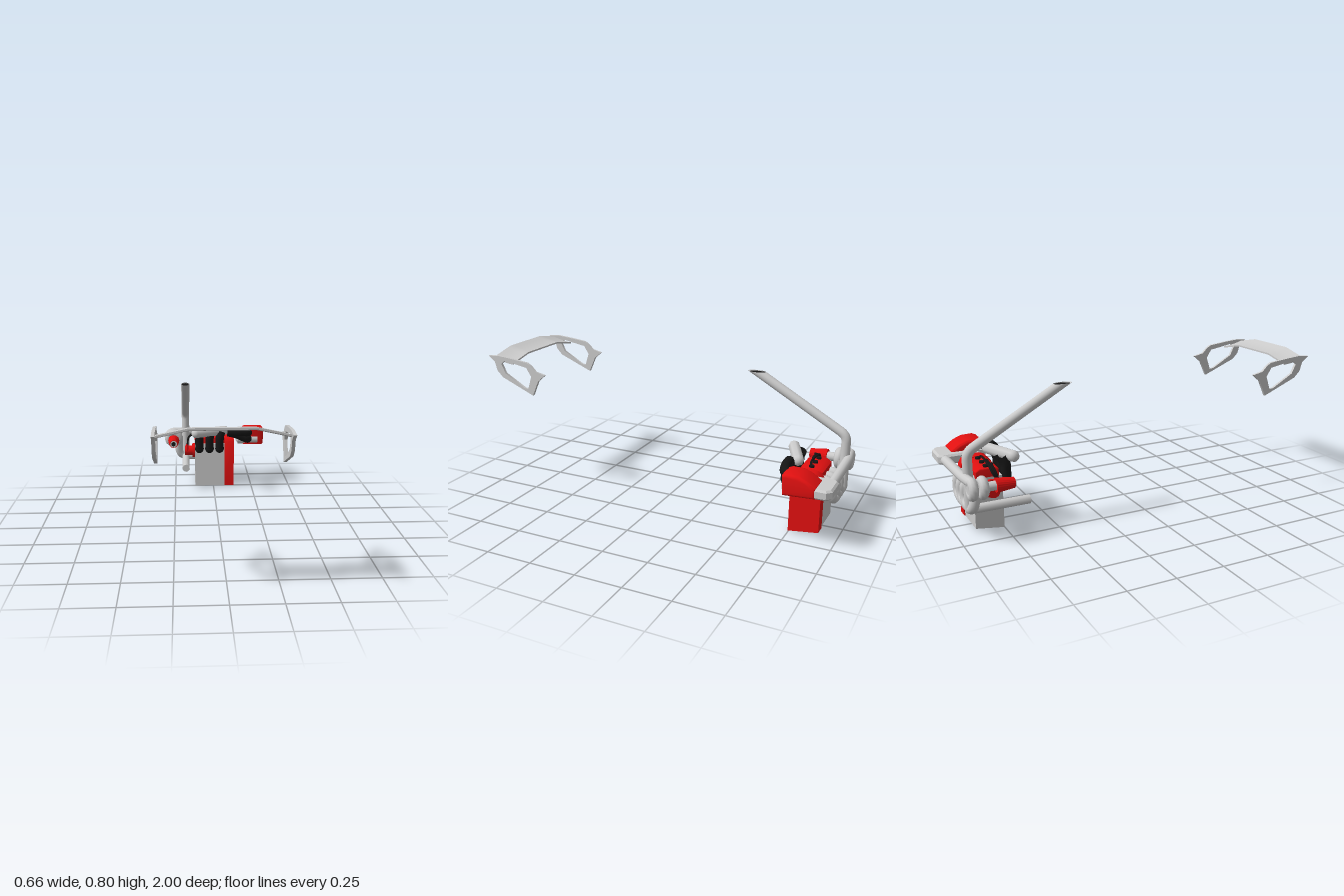
import * as THREE from 'three';
import { toCreasedNormals } from 'three/addons/utils/BufferGeometryUtils.js';

const mat = (color) => new THREE.MeshStandardMaterial({ color, side: THREE.DoubleSide });
const grey = mat(0xcccccc), red = mat(0xe01010), black = mat(0x161616);
const V = (p) => new THREE.Vector3(...p);

export function createModel() {
  const root = new THREE.Group();

  function add(parent, name, geo, material, pos = [0, 0, 0]) {
    const m = new THREE.Mesh(geo, material);
    m.name = name;
    m.position.set(...pos);
    parent.add(m);
    return m;
  }
  function group(name) {
    const g = new THREE.Group();
    g.name = name;
    root.add(g);
    return g;
  }
  // Polyline with rounded corners
  function bentPath(pts, bend) {
    const path = new THREE.CurvePath();
    const p = pts.map(V);
    let last = p[0];
    for (let i = 1; i < p.length - 1; i++) {
      const a = p[i].clone().add(p[i - 1].clone().sub(p[i]).setLength(bend));
      const b = p[i].clone().add(p[i + 1].clone().sub(p[i]).setLength(bend));
      path.add(new THREE.LineCurve3(last, a));
      path.add(new THREE.QuadraticBezierCurve3(a, p[i], b));
      last = b;
    }
    path.add(new THREE.LineCurve3(last, p[p.length - 1]));
    return path;
  }
  const pipeGeo = (pts, r, bend = 0.04, segs = 32, sides = 12) =>
    new THREE.TubeGeometry(bentPath(pts, bend), segs, r, sides);
  // Outline in (z, y) given thickness along x
  function sideProfile(pts, x0, x1, holePts, bevel = 0) {
    const shape = new THREE.Shape(pts.map((p) => new THREE.Vector2(...p)));
    if (holePts) shape.holes.push(new THREE.Path(holePts.map((p) => new THREE.Vector2(...p))));
    const geo = new THREE.ExtrudeGeometry(shape, {
      depth: x1 - x0 - 2 * bevel, bevelEnabled: bevel > 0, bevelSize: bevel,
      bevelThickness: bevel, bevelOffset: -bevel, bevelSegments: 3,
    });
    geo.rotateY(-Math.PI / 2).translate(x1 - bevel, 0, 0);
    return toCreasedNormals(geo, 0.7);
  }
  const alongZ = (r0, r1, len, sides = 20) =>
    new THREE.CylinderGeometry(r0, r1, len, sides).rotateX(Math.PI / 2);

  // --- Wing ---
  const wing = group('wing');
  const blade = new THREE.BoxGeometry(0.584, 0.009, 0.125, 24, 1, 4);
  const bp = blade.attributes.position;
  for (let i = 0; i < bp.count; i++) {
    const x = bp.getX(i), z = bp.getZ(i);
    const drop = 0.032 * Math.max(0, (Math.abs(x) - 0.146) / 0.146);
    bp.setY(i, bp.getY(i) + z * 0.2 - drop + (z * z) * 1.2);
  }
  blade.computeVertexNormals();
  add(wing, 'wingBlade', toCreasedNormals(blade, 0.6), grey, [-0.025, 0.776, 0.905]);
  const plate = [[1, 0.77], [0.93, 0.775], [0.85, 0.768], [0.74, 0.755], [0.715, 0.74], [0.685, 0.71],
    [0.625, 0.697], [0.67, 0.66], [0.71, 0.573], [0.91, 0.655], [0.945, 0.69], [0.96, 0.74]];
  const opening = [[0.915, 0.732], [0.89, 0.752], [0.745, 0.727], [0.715, 0.68], [0.74, 0.607], [0.765, 0.61], [0.89, 0.68]];
  for (const x of [-0.33, 0.265])
    add(wing, 'wingEndPlate', sideProfile(plate, x, x + 0.015, opening), grey);

  // --- Engine block, covers ---
  const engine = group('engine');
  add(engine, 'engineBlock', sideProfile(
    [[-0.75, 0], [-0.75, 0.285], [-0.9, 0.285], [-0.9, 0.02]], -0.12, 0.075), grey);
  add(engine, 'timingCover', sideProfile(
    [[-0.745, 0], [-0.745, 0.3], [-0.765, 0.325], [-0.79, 0.335], [-0.86, 0.335], [-0.89, 0.322], [-0.905, 0.295], [-0.905, 0.02]],
    0.073, 0.135), red);
  add(engine, 'valveCover', sideProfile(
    [[-0.765, 0.28], [-0.765, 0.32], [-0.785, 0.333], [-0.865, 0.333], [-0.888, 0.318], [-0.888, 0.28]],
    -0.12, 0.08, null, 0.006), red);

  // --- Intake plenum and runners ---
  const intake = group('intake');
  add(intake, 'plenum', new THREE.CapsuleGeometry(0.031, 0.2, 4, 8).rotateX(Math.PI / 8).rotateZ(Math.PI / 2),
    grey, [-0.02, 0.372, -0.722]);
  const cylinders = [-0.092, -0.026, 0.04];
  for (const x of cylinders) {
    add(intake, 'intakeRunner', pipeGeo([[x + 0.01, 0.365, -0.735], [x, 0.335, -0.72],
      [x, 0.255, -0.72], [x, 0.255, -0.77]], 0.027, 0.02), black);
    add(intake, 'runnerElbow', new THREE.SphereGeometry(0.029, 12, 8), black, [x, 0.26, -0.722]);
  }
  // Twin hoses to the cooler
  const hoses = [[[0.09, 0.367, -0.722], [0.16, 0.367, -0.725], [0.225, 0.36, -0.74], [0.235, 0.35, -0.79]],
    [[0.1, 0.365, -0.725], [0.15, 0.352, -0.735], [0.225, 0.315, -0.745], [0.235, 0.315, -0.79]]];
  for (const h of hoses) {
    add(intake, 'blackHose', pipeGeo(h, 0.027, 0.022), black);
    add(intake, 'hoseBend', new THREE.SphereGeometry(0.026, 12, 8), black, [h[2][0], h[2][1], h[2][2] - 0.006]);
  }

  // --- Cooler tray with hood ---
  const cooler = group('cooler');
  const corner = (x0, x1, z0, z1, c) => [[x0 + c, z0], [x1 - c, z0], [x1, z0 + c], [x1, z1 - c],
    [x1 - c, z1], [x0 + c, z1], [x0, z1 - c], [x0, z0 + c]].map((p) => new THREE.Vector2(...p));
  const rim = new THREE.Shape(corner(0.15, 0.322, 0.762, 1, 0.025));
  rim.holes.push(new THREE.Path(corner(0.172, 0.302, 0.785, 0.95, 0.008)));
  const rimGeo = new THREE.ExtrudeGeometry(rim, {
    depth: 0.033, bevelSize: 0.01, bevelThickness: 0.01, bevelOffset: -0.01, bevelSegments: 1,
  }).rotateX(-Math.PI / 2);
  add(cooler, 'coolerTray', rimGeo, grey, [0, 0.295, 0]);
  add(cooler, 'coolerCore', new THREE.BoxGeometry(0.14, 0.02, 0.18), black, [0.237, 0.312, -0.868]);
  add(cooler, 'coolerHood', sideProfile(
    [[-0.758, 0.277], [-0.753, 0.38], [-0.775, 0.39], [-0.835, 0.388], [-0.88, 0.37], [-0.922, 0.34], [-0.922, 0.285]],
    0.19, 0.328, null, 0.016), red);
  add(cooler, 'coolerInlet', new THREE.CylinderGeometry(0.03, 0.03, 0.13, 8)
    .rotateY(Math.PI / 8).rotateZ(Math.PI / 2), grey, [0.225, 0.31, -0.775]);

  // --- Turbo ---
  const turbo = group('turbo');
  for (const z of [-0.947, -0.895]) {
    add(turbo, 'turboScroll', new THREE.TorusGeometry(0.036, 0.024, 10, 20), grey, [-0.26, 0.29, z]);
    add(turbo, 'turboHub', alongZ(0.034, 0.034, 0.04), grey, [-0.26, 0.29, z]);
  }
  add(turbo, 'boostPipe', pipeGeo([[-0.265, 0.326, -0.95], [-0.17, 0.324, -0.962],
    [0.0, 0.317, -0.963], [0.18, 0.31, -0.963]], 0.025, 0.03), grey);
  add(turbo, 'inletPipe', alongZ(0.024, 0.024, 0.07), grey, [-0.26, 0.29, -0.855]);
  // Pleated air filter
  const filter = alongZ(0.027, 0.038, 0.095, 40);
  const fp = filter.attributes.position;
  for (let i = 0; i < fp.count; i++) {
    const step = Math.round(Math.atan2(fp.getY(i), fp.getX(i)) / (Math.PI / 20));
    if (step & 1) { fp.setX(i, fp.getX(i) * 0.9); fp.setY(i, fp.getY(i) * 0.9); }
  }
  filter.computeVertexNormals();
  add(turbo, 'airFilter', filter, red, [-0.26, 0.29, -0.782]);
  add(turbo, 'filterRing', alongZ(0.022, 0.022, 0.006), grey, [-0.26, 0.29, -0.734]);
  add(turbo, 'filterMouth', alongZ(0.014, 0.014, 0.008), black, [-0.26, 0.29, -0.734]);

  // --- Exhaust ---
  const exhaust = group('exhaust');
  for (const x of cylinders)
    add(exhaust, 'header', pipeGeo([[x, 0.272, -0.88], [x, 0.272, -0.94], [x, 0.17, -0.94],
      [x - 0.09, 0.155, -0.938]], 0.025, 0.045), grey);
  add(exhaust, 'collector', pipeGeo([[-0.225, 0.3, -0.91], [-0.225, 0.157, -0.937],
    [-0.06, 0.157, -0.937]], 0.026, 0.06), grey);
  add(exhaust, 'frontPipe', alongZ(0.024, 0.024, 0.3, 10), grey, [-0.18, 0.155, -0.78]);
  // Stack, its tip sliced level
  const dir = new THREE.Vector3(0, 0.5, 0.88).normalize();
  const stack = pipeGeo([[-0.18, 0.157, -0.941], [-0.18, 0.45, -0.941], [-0.18, 0.79, -0.343]], 0.025, 0.035, 60, 16);
  const sp = stack.attributes.position;
  const top = 0.738;
  for (let i = 0; i < sp.count; i++) {
    const over = sp.getY(i) - top;
    if (over > 0) {
      sp.setY(i, top);
      sp.setZ(i, sp.getZ(i) - over * dir.z / dir.y);
    }
  }
  add(exhaust, 'exhaustStack', stack, grey);
  const mouth = new THREE.CircleGeometry(0.021, 20).rotateX(-Math.PI / 2).scale(1, 1, 2);
  add(exhaust, 'stackMouth', mouth, black, [-0.18, 0.735, -0.438]);

  // --- Distributor and ignition leads ---
  const ignition = group('ignition');
  const alongX = (r, len) => new THREE.CylinderGeometry(r, r, len, 16).rotateZ(Math.PI / 2);
  add(ignition, 'distributor', alongX(0.031, 0.055), red, [-0.158, 0.225, -0.815]);
  add(ignition, 'distributorFlange', alongX(0.047, 0.02), red, [-0.127, 0.226, -0.815]);
  add(ignition, 'leadBoot', new THREE.CylinderGeometry(0.009, 0.005, 0.045, 10), red, [-0.17, 0.253, -0.782]);
  cylinders.forEach((x, i) => {
    const z = -0.8 - i * 0.008;
    const lead = new THREE.CatmullRomCurve3([[x, 0.33, -0.825], [x - 0.015, 0.35, z], [-0.125, 0.343, z],
      [-0.16, 0.318, z + 0.005], [-0.17, 0.265, -0.782]].map(V));
    add(ignition, 'ignitionLead', new THREE.TubeGeometry(lead, 30, 0.006, 8), black);
    add(ignition, 'plugCap', new THREE.CylinderGeometry(0.014, 0.014, 0.014, 12), black, [x, 0.336, -0.825]);
  });

  return root;
}
